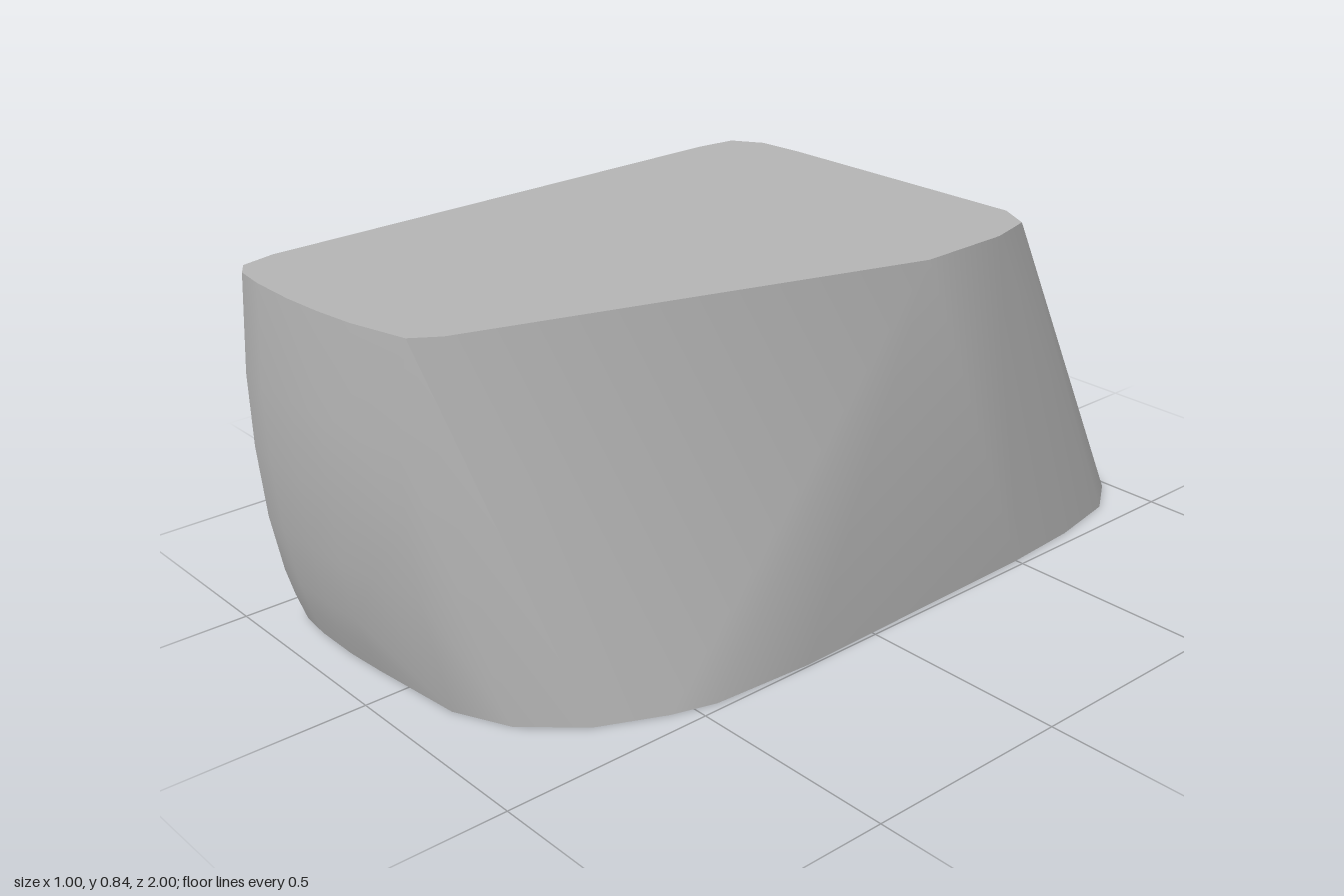
import * as THREE from 'three';
import { toCreasedNormals } from 'three/addons/utils/BufferGeometryUtils.js';
import { ConvexGeometry } from 'three/addons/geometries/ConvexGeometry.js';

const HEIGHT = 0.84;

// Outlines as [x, z], running from the back left corner round to the front left
const topOutline = [
  [-0.49, -0.35], [-0.48, -0.45], [-0.41, -0.495], [-0.3, -0.505], [0.37, -0.52],
  [0.45, -0.48], [0.48, -0.37], [0.487, -0.14], [0.18, 0.87], [0.14, 0.93], [-0.46, 0.87],
];
const baseOutline = [
  [-0.5, -0.45], [-0.49, -0.79], [-0.42, -0.94], [-0.33, -0.985], [0.25, -1], [0.36, -0.98],
  [0.43, -0.88], [0.465, -0.7], [0.48, -0.5], [0.495, 0.2], [0.48, 0.45], [0.45, 0.55],
  [0.38, 0.7], [0.27, 0.82], [0.14, 0.88], [-0.465, 0.8],
];
// Curved front: one plan curve, pushed forward or back with height as [y, dz]
const frontCurve = [[0.12, 0.935], [0, 0.965], [-0.1, 0.978], [-0.2, 0.985], [-0.32, 0.984], [-0.4, 0.975], [-0.44, 0.95]];
const frontBulge = [[0, -0.075], [0.07, -0.05], [0.14, -0.03], [0.28, -0.004], [0.45, 0.011], [0.62, 0.014], [HEIGHT, 0]];

export function createModel() {
  const group = new THREE.Group();
  group.name = 'taperedBlock';
  const grey = new THREE.MeshStandardMaterial({ color: 0xb4b4b4 });
  grey.name = 'grey';

  const points = [];
  const addRing = (outline, y, dz = 0) => {
    for (const [x, z] of outline) points.push(new THREE.Vector3(x, y, z + dz));
  };
  addRing(topOutline, HEIGHT);
  addRing(baseOutline, 0);
  for (const [y, dz] of frontBulge) addRing(frontCurve, y, dz);

  // Skin stretched over the outlines, smooth round the corners and sharp at the rims
  const block = new THREE.Mesh(toCreasedNormals(new ConvexGeometry(points), 0.6), grey);
  block.name = 'block';
  group.add(block);
  return group;
}
